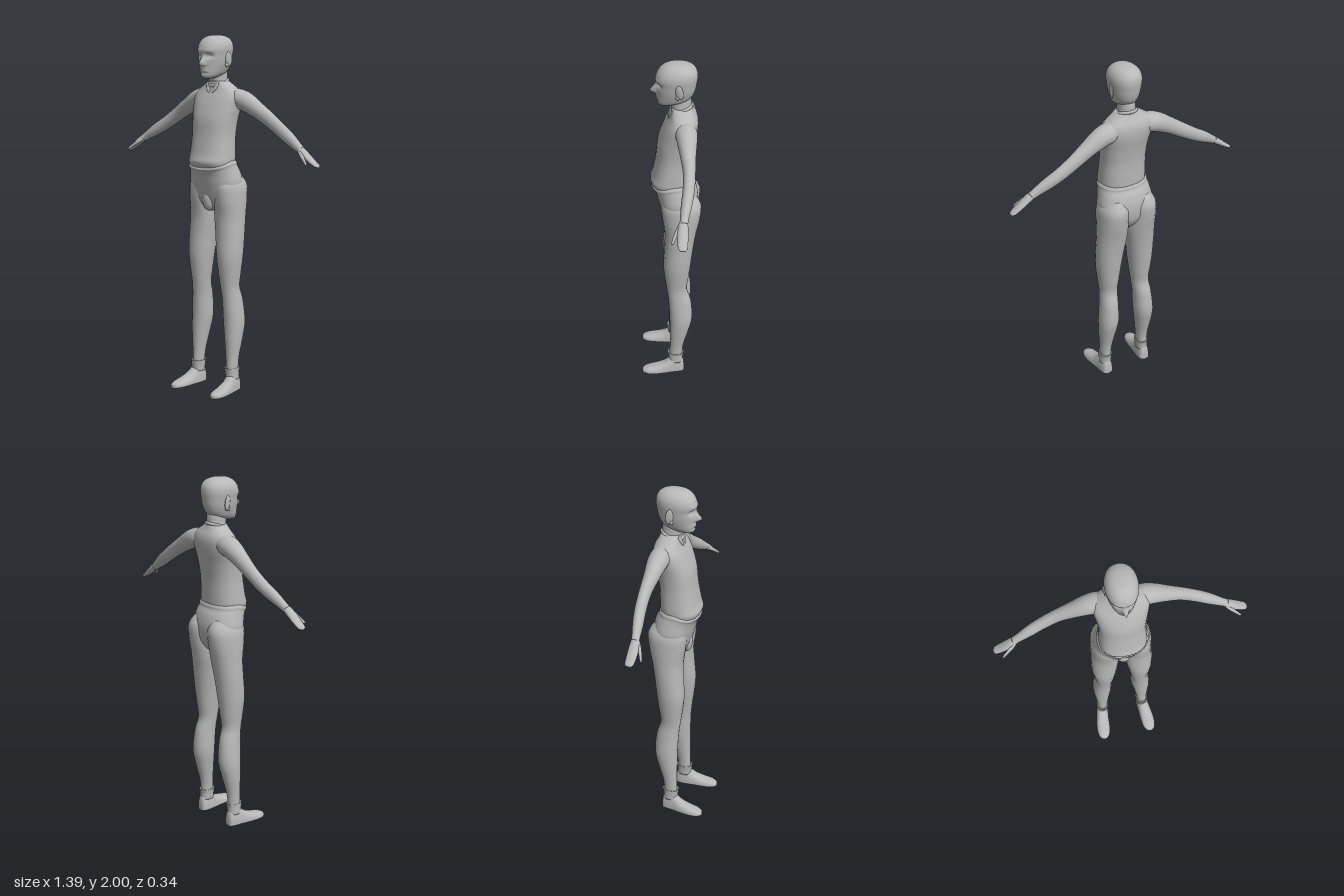
import * as THREE from 'three';

const fabric = new THREE.MeshStandardMaterial({ color: 0xb8b8b8 });
fabric.name = 'plain grey';

// Smoothly interpolated row of section numbers
function sample(rows, t) {
  const i = Math.min(Math.floor(t), rows.length - 2), f = t - i;
  const a = rows[Math.max(i - 1, 0)], b = rows[i], c = rows[i + 1], d = rows[Math.min(i + 2, rows.length - 1)];
  return b.map((_, k) => b[k] + 0.5 * f * (c[k] - a[k] + f * (2 * a[k] - 5 * b[k] + 4 * c[k] - d[k] + f * (3 * (b[k] - c[k]) + d[k] - a[k]))));
}

// Closed skin through rings; place(row, cos, sin) gives one point of a ring
function loft(name, rows, place, seg = 24, sub = 4) {
  const pos = [], idx = [], n = (rows.length - 1) * sub;
  for (let j = 0; j <= n; j++) {
    const row = sample(rows, j / sub);
    for (let i = 0; i < seg; i++) {
      const a = i / seg * Math.PI * 2;
      pos.push(...place(row, Math.cos(a), Math.sin(a)));
    }
  }
  for (let j = 0; j < n; j++) for (let i = 0; i < seg; i++) {
    const a = j * seg + i, b = j * seg + (i + 1) % seg;
    idx.push(a, a + seg, b, b, a + seg, b + seg);
  }
  for (const j of [0, n]) {
    const mid = [0, 0, 0];
    for (let i = 0; i < seg; i++) for (let k = 0; k < 3; k++) mid[k] += pos[(j * seg + i) * 3 + k] / seg;
    const m = pos.length / 3;
    pos.push(...mid);
    for (let i = 0; i < seg; i++) {
      const a = j * seg + i, b = j * seg + (i + 1) % seg;
      j ? idx.push(m, b, a) : idx.push(m, a, b);
    }
  }
  // Turn the skin outward if its volume is negative
  const p = q => new THREE.Vector3().fromArray(pos, q * 3);
  let vol = 0;
  for (let i = 0; i < idx.length; i += 3) vol += p(idx[i]).dot(p(idx[i + 1]).cross(p(idx[i + 2])));
  if (vol < 0) idx.reverse();
  const g = new THREE.BufferGeometry();
  g.setAttribute('position', new THREE.Float32BufferAttribute(pos, 3));
  g.setIndex(idx);
  g.computeVertexNormals();
  return named(name, g);
}

function named(name, geometry) {
  const m = new THREE.Mesh(geometry, fabric);
  m.name = name;
  return m;
}

function ellipsoid(name, c, r, rot = [0, 0, 0]) {
  const m = named(name, new THREE.SphereGeometry(1, 16, 12));
  m.position.set(...c);
  m.scale.set(...r);
  m.rotation.set(...rot);
  return m;
}

// Upright section: [y, centre x, half width, front z, back z]
const pow = (v, e) => Math.sign(v) * Math.abs(v) ** e;
const upright = (s = 1, e = 0.9) => ([y, x, w, f, b], c, n) =>
  [s * (x + w * pow(c, e)), y, (f + b) / 2 + (f - b) / 2 * pow(n, e)];

const bump = (d, r) => Math.exp(-d * d / (r * r));

// Head section with nose, eye sockets, brow and lips pushed out of the face
function face(row, c, n) {
  const [x, y, z] = upright(1, 0.92)(row, c, n);
  if (n <= 0) return [x, y, z];
  const ax = Math.abs(x);
  const nose = 0.036 * bump(x, 0.014) * bump(y - 1.843, y > 1.843 ? 0.033 : 0.013);
  const socket = 0.016 * bump(ax - 0.034, 0.017) * bump(y - 1.887, 0.014);
  const brow = 0.005 * bump(ax - 0.03, 0.03) * bump(y - 1.913, 0.012);
  const lips = 0.006 * bump(x, 0.022) * (bump(y - 1.816, 0.006) + bump(y - 1.804, 0.006) - bump(y - 1.793, 0.007));
  return [x, y, z + nose - socket + brow + lips];
}

function addHead(g) {
  g.add(loft('head', [
    [1.764, 0, 0.02, 0.055, 0.0], [1.772, 0, 0.038, 0.068, -0.03], [1.79, 0, 0.054, 0.073, -0.085],
    [1.815, 0, 0.065, 0.073, -0.112], [1.85, 0, 0.075, 0.075, -0.127], [1.89, 0, 0.081, 0.077, -0.135],
    [1.925, 0, 0.085, 0.079, -0.139], [1.955, 0, 0.08, 0.068, -0.135], [1.98, 0, 0.064, 0.046, -0.118],
    [1.995, 0, 0.038, 0.015, -0.085], [2, 0, 0.006, -0.025, -0.045]], face, 56, 7));
  g.add(loft('neck', [
    [1.69, 0, 0.055, -0.005, -0.115], [1.75, 0, 0.047, 0, -0.108], [1.79, 0, 0.046, 0.008, -0.107],
    [1.83, 0, 0.045, 0.01, -0.1]], upright()));
  for (const s of [1, -1]) {
    g.add(ellipsoid('ear', [s * 0.082, 1.87, -0.042], [0.009, 0.042, 0.022], [0.15, -s * 0.3, 0]));
    g.add(ellipsoid('earLobe', [s * 0.078, 1.838, -0.034], [0.008, 0.014, 0.012]));
  }
}

function addTorso(g) {
  g.add(loft('shirt', [
    [1.27, 0, 0.122, 0.095, -0.1], [1.305, 0, 0.131, 0.112, -0.11], [1.35, 0, 0.131, 0.1, -0.112],
    [1.45, 0, 0.127, 0.082, -0.115], [1.54, 0, 0.134, 0.072, -0.128], [1.61, 0, 0.146, 0.05, -0.142],
    [1.66, 0, 0.152, 0.028, -0.145], [1.695, 0, 0.135, 0.01, -0.138], [1.725, 0, 0.092, 0.002, -0.122],
    [1.748, 0, 0.056, 0, -0.112]], upright(1, 0.85), 32));
  // Collar stands high at the nape and dips at the throat
  const collar = named('collar', new THREE.TorusGeometry(0.051, 0.009, 8, 28));
  collar.rotation.x = Math.PI / 2 + 0.3;
  collar.scale.set(1, 1.12, 1);
  collar.position.set(0, 1.74, -0.053);
  g.add(collar);
  for (const s of [1, -1])
    g.add(ellipsoid('collarFlap', [s * 0.026, 1.713, 0.003], [0.011, 0.034, 0.008], [-0.35, 0, -s * 0.45]));
}

function addTrousers(g) {
  // Waistband dips at the front
  const dip = ([y, x, w, f, b], c, n) => {
    const p = upright(1, 0.88)([y, x, w, f, b], c, n);
    p[1] -= Math.max(0, (y - 1.1) / 0.2) * 0.035 * Math.max(0, n);
    return p;
  };
  g.add(loft('hips', [
    [1.03, 0, 0.035, 0.025, -0.09], [1.07, 0, 0.1, 0.042, -0.125], [1.12, 0, 0.145, 0.055, -0.145],
    [1.19, 0, 0.16, 0.07, -0.15], [1.25, 0, 0.149, 0.083, -0.138], [1.285, 0, 0.141, 0.095, -0.12],
    [1.3, 0, 0.141, 0.106, -0.118], [1.312, 0, 0.134, 0.103, -0.111], [1.318, 0, 0.12, 0.09, -0.1]], dip, 36));
  g.add(ellipsoid('fly', [0, 1.09, 0.03], [0.038, 0.06, 0.03]));
  for (const s of [1, -1]) {
    g.add(loft('trouserLeg', [
      [1.24, 0.078, 0.045, 0.03, -0.125], [1.18, 0.084, 0.08, 0.054, -0.163], [1.1, 0.088, 0.084, 0.05, -0.16],
      [1, 0.088, 0.086, 0.036, -0.14], [0.9, 0.096, 0.081, 0.038, -0.124], [0.78, 0.103, 0.072, 0.045, -0.11],
      [0.68, 0.104, 0.06, 0.036, -0.098], [0.6, 0.105, 0.051, 0.025, -0.09], [0.52, 0.111, 0.052, 0.016, -0.113],
      [0.4, 0.117, 0.057, 0.01, -0.122], [0.3, 0.122, 0.048, 0.009, -0.1], [0.2, 0.124, 0.036, 0.008, -0.073],
      [0.12, 0.126, 0.03, 0.01, -0.065], [0.07, 0.127, 0.028, 0.005, -0.06]], upright(s, 0.95)));
  }
}

function addShoes(g) {
  // Shoe section along z: [z, centre x, half width, top y]
  const shoe = s => ([z, x, w, h], c, n) => [s * (x + w * pow(c, 0.75)), n > 0 ? 0.012 + (h - 0.012) * n : 0.012 * (1 - pow(-n, 0.3)), z];
  for (const s of [1, -1]) {
    g.add(loft('shoe', [
      [-0.076, 0.128, 0.015, 0.04], [-0.068, 0.128, 0.029, 0.085], [-0.04, 0.129, 0.036, 0.11],
      [0, 0.132, 0.038, 0.1], [0.04, 0.138, 0.04, 0.068], [0.09, 0.143, 0.042, 0.048],
      [0.135, 0.146, 0.038, 0.037], [0.163, 0.147, 0.025, 0.027], [0.173, 0.147, 0.01, 0.018]], shoe(s)));
    g.add(loft('shoeCuff', [
      [0.07, 0.128, 0.034, 0.012, -0.068], [0.11, 0.126, 0.035, 0.017, -0.07], [0.135, 0.125, 0.037, 0.021, -0.076],
      [0.13, 0.125, 0.028, 0.01, -0.066]], upright(s)));
  }
}

function addArms(g) {
  // Arm section across the limb: [x, y, z, half thickness, half depth, tilt]
  const limb = s => ([x, y, z, r, d, t], c, n) => [s * (x + r * c * Math.sin(t)), y + r * c * Math.cos(t), z + d * n];
  for (const s of [1, -1]) {
    g.add(loft('sleeve', [
      [0.06, 1.672, -0.075, 0.04, 0.045, 0.35], [0.12, 1.655, -0.077, 0.056, 0.058, 0.4],
      [0.18, 1.635, -0.08, 0.054, 0.053, 0.5], [0.25, 1.597, -0.083, 0.046, 0.042, 0.55],
      [0.33, 1.548, -0.087, 0.041, 0.033, 0.56], [0.41, 1.497, -0.082, 0.037, 0.031, 0.56],
      [0.48, 1.455, -0.07, 0.034, 0.029, 0.55], [0.54, 1.418, -0.058, 0.026, 0.023, 0.55],
      [0.572, 1.398, -0.053, 0.022, 0.021, 0.55]], limb(s)));
    g.add(loft('hand', [
      [0.55, 1.412, -0.055, 0.018, 0.019, 0.6], [0.58, 1.393, -0.05, 0.02, 0.025, 0.62],
      [0.615, 1.368, -0.047, 0.017, 0.028, 0.62], [0.65, 1.343, -0.046, 0.013, 0.027, 0.6],
      [0.678, 1.325, -0.046, 0.01, 0.023, 0.58], [0.69, 1.318, -0.046, 0.005, 0.012, 0.55]], limb(s)));
    g.add(loft('thumb', [
      [0.565, 1.398, -0.04, 0.01, 0.012, 0.6], [0.59, 1.378, -0.024, 0.012, 0.012, 0.6],
      [0.62, 1.354, -0.007, 0.009, 0.009, 0.6], [0.64, 1.336, 0.003, 0.007, 0.007, 0.6],
      [0.647, 1.33, 0.006, 0.003, 0.003, 0.6]], limb(s), 14));
  }
}

export function createModel() {
  const g = new THREE.Group();
  g.name = 'standingMan';
  for (const add of [addHead, addTorso, addTrousers, addShoes, addArms]) add(g);
  return g;
}
